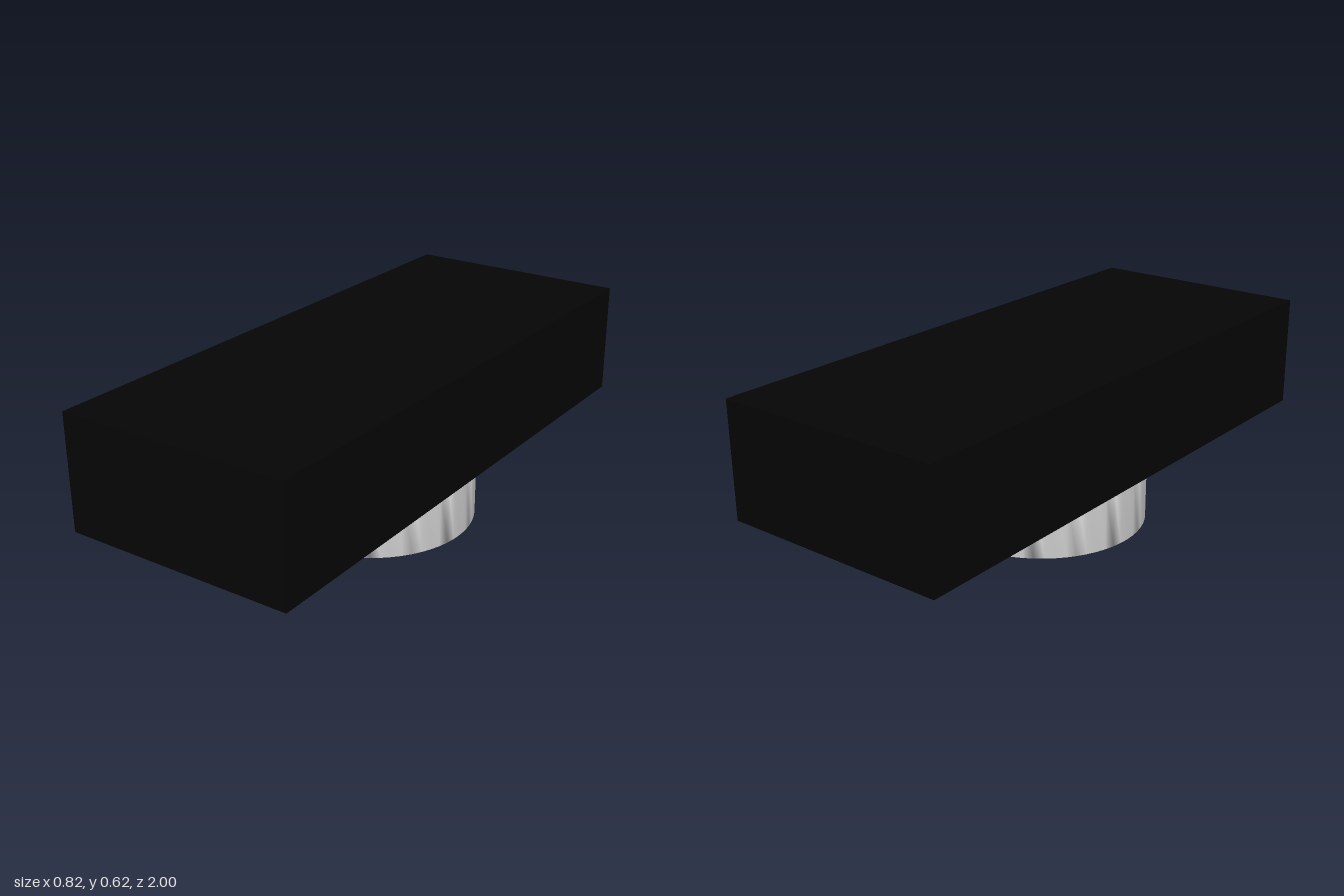
import * as THREE from 'three';
import { mergeVertices } from 'three/addons/utils/BufferGeometryUtils.js';

const SLAB = { width: 0.816, bottom: 0.221, top: 0.621, length: 2 };
const BASE = { radius: 0.366, height: 0.219, sides: 64 };

// Drum whose caps and wall share vertices, so shading flows over the rims
function drumGeometry({ radius, height, sides }) {
  const points = [];
  for (let i = 0; i < sides; i++) {
    const a = (i / sides) * Math.PI * 2;
    points.push(new THREE.Vector2(Math.cos(a) * radius, Math.sin(a) * radius));
  }
  const raw = new THREE.ExtrudeGeometry(new THREE.Shape(points), { depth: height, bevelEnabled: false });
  raw.rotateX(-Math.PI / 2);
  raw.deleteAttribute('normal');
  raw.deleteAttribute('uv');
  const geometry = mergeVertices(raw, 1e-4);
  geometry.computeVertexNormals();
  return geometry;
}

export function createModel() {
  const group = new THREE.Group();

  // Round base
  const base = new THREE.Mesh(drumGeometry(BASE), new THREE.MeshStandardMaterial({ color: 0xcccccc }));
  base.name = 'base';
  group.add(base);

  // Long black slab resting on the base
  const slab = new THREE.Mesh(
    new THREE.BoxGeometry(SLAB.width, SLAB.top - SLAB.bottom, SLAB.length),
    new THREE.MeshStandardMaterial({ color: 0x050505 })
  );
  slab.name = 'slab';
  slab.position.y = (SLAB.top + SLAB.bottom) / 2;
  group.add(slab);

  return group;
}
